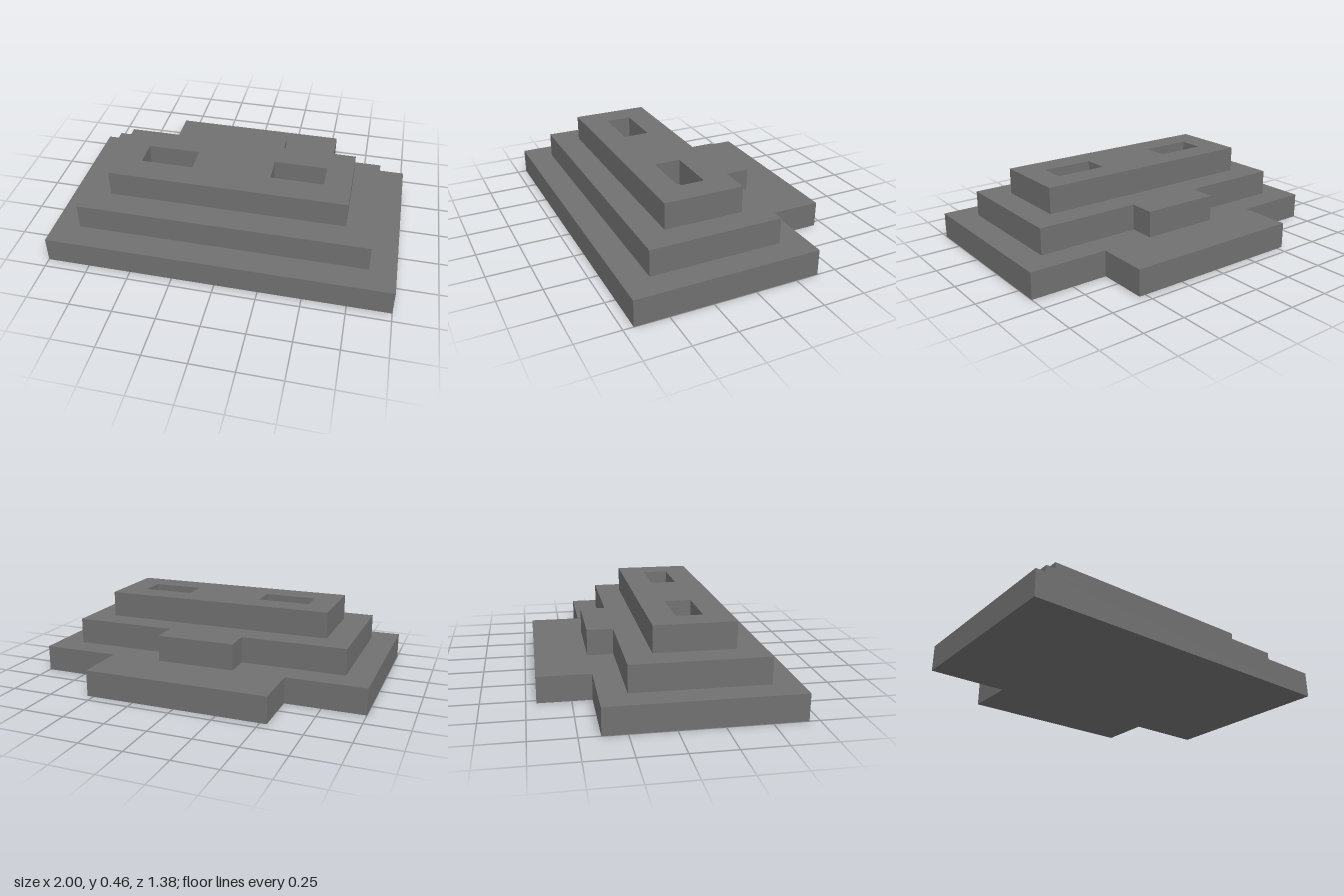
import * as THREE from 'three';

const U = 1 / 13; // grid unit: all dimensions are whole multiples
const TIER = 2;   // height of each tier in units

// Closed outline from [x, z] points given in grid units
const points = (list) => list.map(([x, z]) => new THREE.Vector2(x * U, -z * U));

// Rectangular plan with an optional centred tab at the back
function plan(halfWidth, back, front, tabHalf = 0, tabBack = back) {
  const tab = tabHalf
    ? [[tabHalf, back], [tabHalf, tabBack], [-tabHalf, tabBack], [-tabHalf, back]]
    : [];
  return points([
    [-halfWidth, front], [halfWidth, front], [halfWidth, back],
    ...tab, [-halfWidth, back],
  ]);
}

// Rectangular slots mirrored on both sides
function slots(inner, outer, back, front) {
  return [-1, 1].map((s) => new THREE.Path(points([
    [s * inner, back], [s * outer, back], [s * outer, front], [s * inner, front],
  ])));
}

export function createModel() {
  const group = new THREE.Group();
  const grey = new THREE.MeshStandardMaterial({ color: 0x707070 });
  grey.name = 'grey';

  // Extrude a plan upwards as one tier
  function addTier(name, level, outline, holes = []) {
    const shape = new THREE.Shape(outline);
    shape.holes.push(...holes);
    const geometry = new THREE.ExtrudeGeometry(shape, { depth: TIER * U, bevelEnabled: false });
    geometry.rotateX(-Math.PI / 2);
    const mesh = new THREE.Mesh(geometry, grey);
    mesh.name = name;
    mesh.position.y = level * TIER * U;
    group.add(mesh);
  }

  // Base slab with a wide rear landing
  addTier('baseTier', 0, plan(13, -5, 9, 7, -9));
  // Middle slab with a narrow rear step; outer half of each pocket goes deeper
  addTier('middleTier', 1, plan(11, -3, 7, 3, -5), slots(5, 7, 1, 3));
  // Top slab with two long slots
  addTier('topTier', 2, plan(9, -1, 5), slots(3, 7, 1, 3));

  return group;
}
